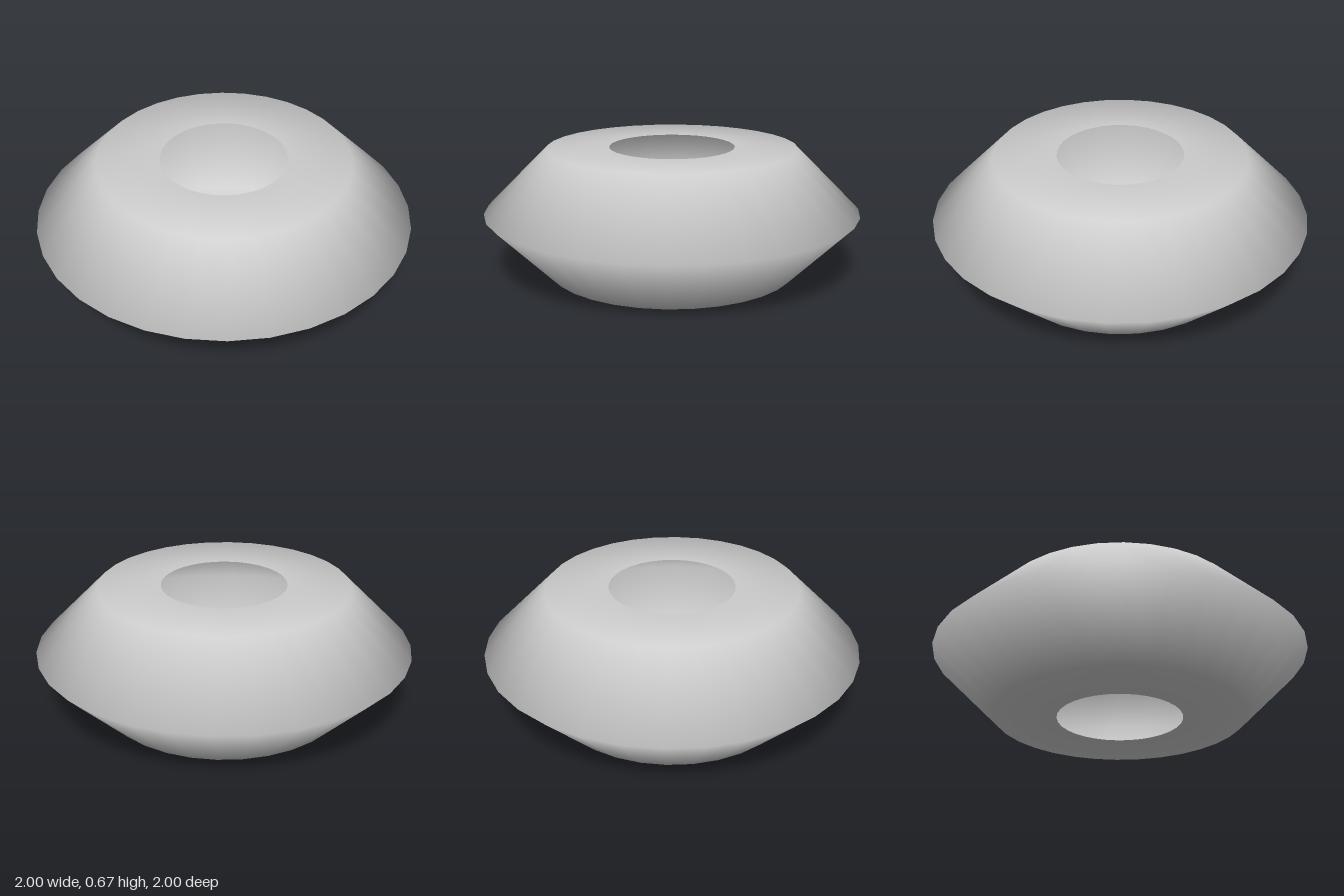
import * as THREE from 'three';

export function createModel() {
  const group = new THREE.Group();
  const t = 1 / 3;

  // Open ring shell: flat rims with a round opening, flaring to a sharp equator
  const profile = [[1, 0], [2, 0], [3, 1], [2, 2], [1, 2]]
    .map(([r, y]) => new THREE.Vector2(r * t, y * t));

  const shell = new THREE.Mesh(
    new THREE.LatheGeometry(profile, 32),
    new THREE.MeshStandardMaterial({ color: 0xcccccc, side: THREE.DoubleSide })
  );
  shell.name = 'ringShell';
  group.add(shell);
  return group;
}
